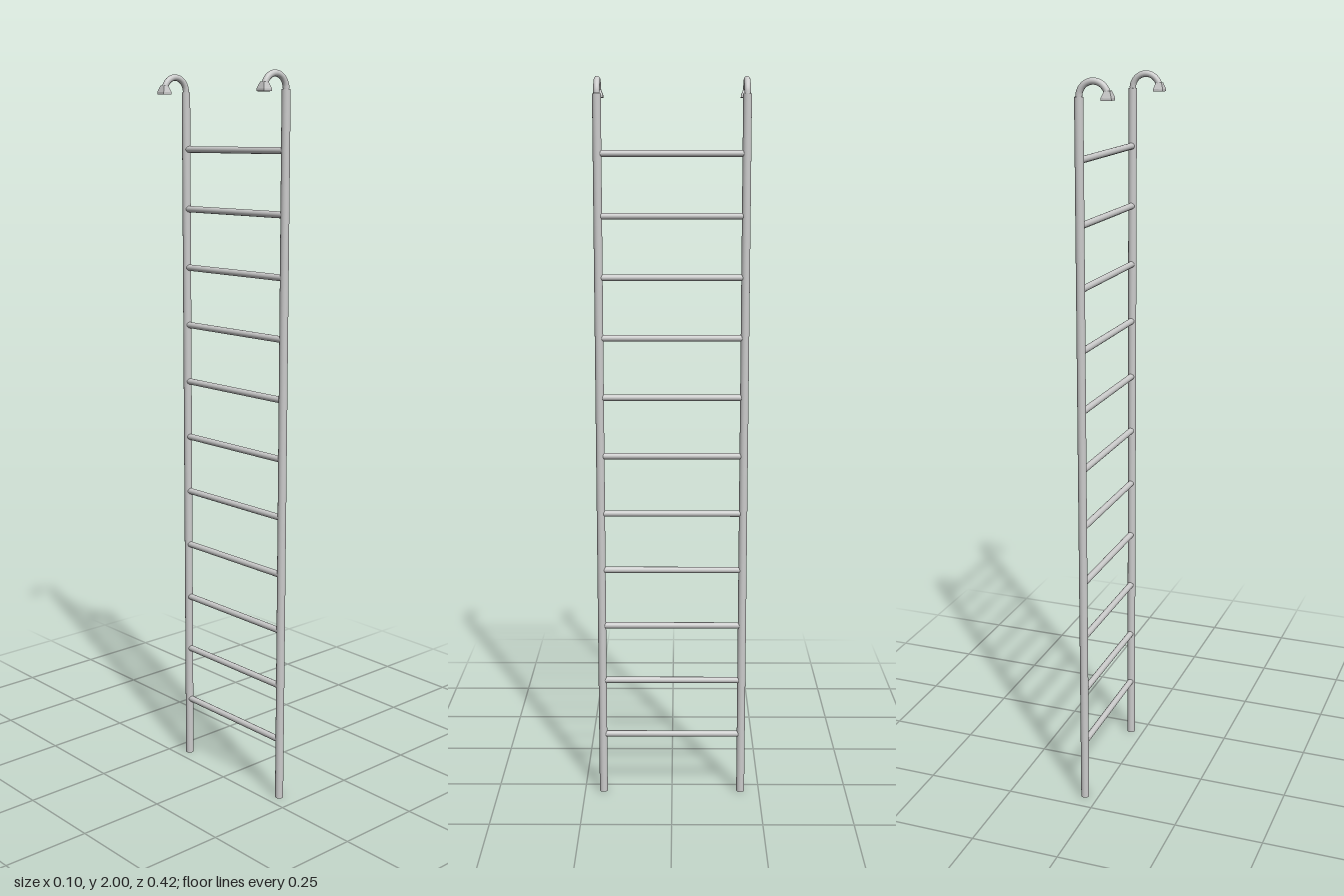
import * as THREE from 'three';

const RAIL_X = 0.038, RAIL_Z = 0.197, RAIL_TOP = 1.953;
const HOOK_R = 0.0085;

export function createModel() {
  const ladder = new THREE.Group();
  ladder.name = 'hookLadder';
  const metal = new THREE.MeshStandardMaterial({ color: 0xcccccc });
  const flatMetal = new THREE.MeshStandardMaterial({ color: 0xcccccc, flatShading: true });

  const add = (name, geometry, x, y, z, material = metal) => {
    const mesh = new THREE.Mesh(geometry, material);
    mesh.name = name;
    mesh.position.set(x, y, z);
    ladder.add(mesh);
    return mesh;
  };

  // Half-circle path of the hooks, from the rail over to the foot
  const arc = [];
  for (let i = 0; i <= 12; i++) {
    const a = (i / 12) * Math.PI;
    arc.push(new THREE.Vector3(RAIL_X * Math.cos(a), RAIL_X * Math.sin(a), 0));
  }
  const hookPath = new THREE.CatmullRomCurve3(arc);

  for (const [side, s] of [['left', 1], ['right', -1]]) {
    const z = s * RAIL_Z;
    // Upright rail
    add(side + 'Rail', new THREE.CylinderGeometry(0.0115, 0.0115, RAIL_TOP, 24), RAIL_X, RAIL_TOP / 2, z);
    // Curved hook on top of the rail
    add(side + 'Hook', new THREE.TubeGeometry(hookPath, 32, HOOK_R, 16), 0, RAIL_TOP, z);
    // Flared square foot at the end of the hook
    const flare = new THREE.CylinderGeometry(0.0075 * Math.SQRT2, 0.0138 * Math.SQRT2, 0.017, 4);
    flare.rotateY(Math.PI / 4);
    add(side + 'HookFlare', flare, -RAIL_X, 1.9605, z, flatMetal);
    add(side + 'HookPad', new THREE.BoxGeometry(0.0276, 0.006, 0.0276), -RAIL_X, 1.949, z, flatMetal);
  }

  // Evenly spaced rungs
  for (let i = 0; i < 11; i++) {
    const rung = new THREE.CylinderGeometry(0.0088, 0.0088, 2 * RAIL_Z, 20);
    rung.rotateX(Math.PI / 2);
    add('rung' + (i + 1), rung, RAIL_X, 0.175 + i * 0.1625, 0);
  }
  return ladder;
}
